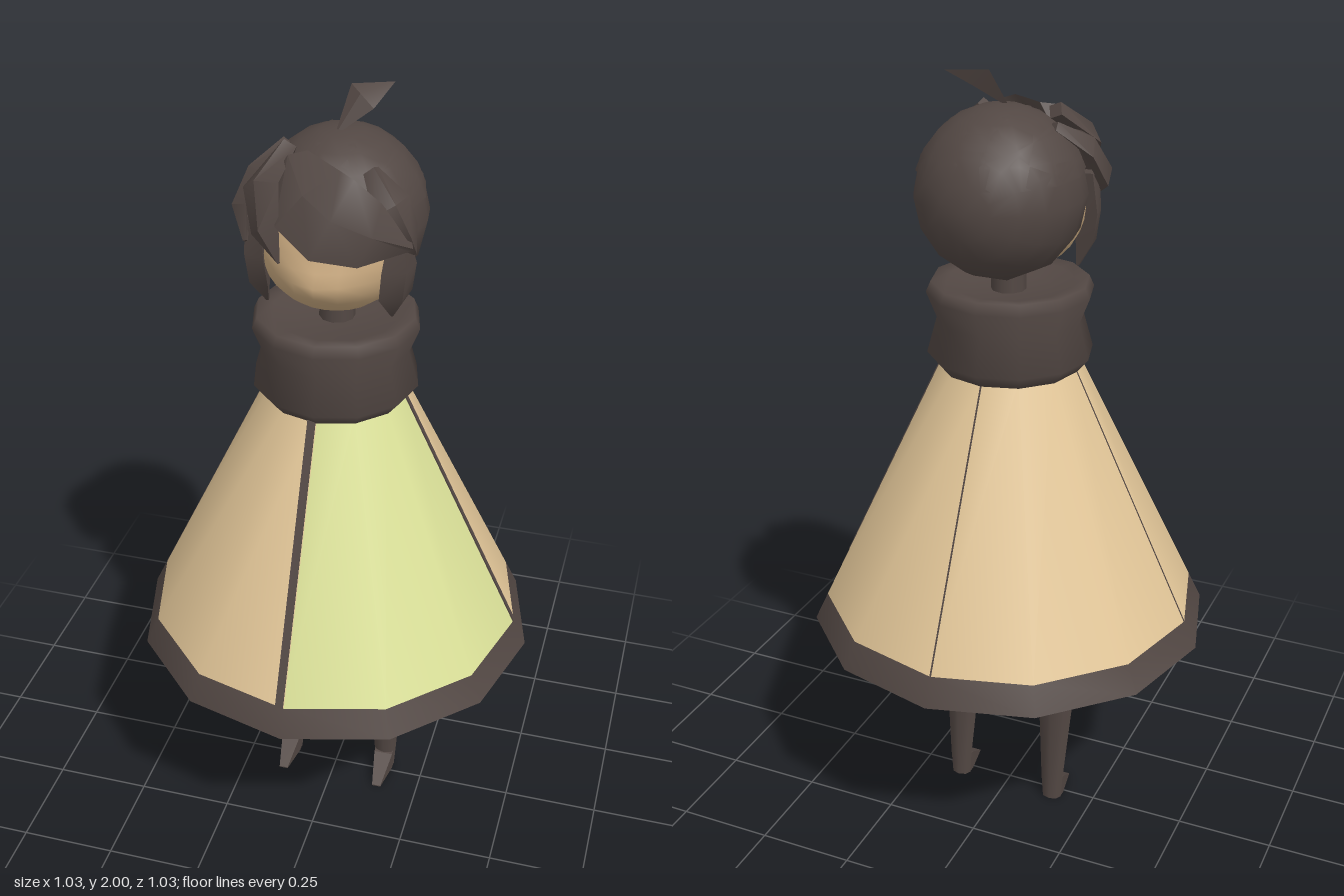
import * as THREE from 'three';
import { toCreasedNormals } from 'three/addons/utils/BufferGeometryUtils.js';

const mat = (name, color, side = THREE.FrontSide) => {
  const m = new THREE.MeshStandardMaterial({ color, side });
  m.name = name;
  return m;
};

const HEAD = new THREE.Vector3(0, 1.71, -0.055);

// Skin over a list of equal-sized rings of points, closed at both ends
function loft(rings, crease) {
  const n = rings[0].length, pos = [], index = [];
  rings.forEach(r => r.forEach(p => pos.push(p.x, p.y, p.z)));
  for (let i = 0; i < rings.length - 1; i++) {
    for (let j = 0; j < n; j++) {
      const a = i * n + j, b = i * n + (j + 1) % n;
      index.push(a, a + n, b, b, a + n, b + n);
    }
  }
  const last = (rings.length - 1) * n;
  for (let j = 1; j < n - 1; j++) {
    index.push(0, j, j + 1, last, last + j + 1, last + j);
  }
  const g = new THREE.BufferGeometry();
  g.setAttribute('position', new THREE.Float32BufferAttribute(pos, 3));
  g.setIndex(index);
  return toCreasedNormals(g, crease);
}

// Leaf-shaped lock along a path of [x, y, z, halfWidth], facing away from the head
function lockGeometry(path, thick) {
  const pts = path.map(p => new THREE.Vector3(p[0], p[1], p[2]));
  const rings = pts.map((c, i) => {
    const t = pts[Math.min(i + 1, pts.length - 1)].clone().sub(pts[Math.max(i - 1, 0)]).normalize();
    const o = c.clone().sub(HEAD).normalize();
    const s = t.clone().cross(o).normalize();
    o.crossVectors(s, t).normalize();
    const w = path[i][3], d = Math.min(thick, w);
    return [[s, w], [o, d], [s, -w], [o, -d]].map(([v, k]) => c.clone().addScaledVector(v, k));
  });
  return loft(rings, 0.8);
}

// Face ball with a slight muzzle pushed forward
function faceGeometry() {
  const g = new THREE.SphereGeometry(1, 20, 16).scale(0.175, 0.155, 0.15).translate(0, 1.66, 0.02);
  const p = g.attributes.position;
  for (let i = 0; i < p.count; i++) {
    if (p.getZ(i) < 0.05) continue;
    const bump = Math.exp(-(((p.getY(i) - 1.615) / 0.045) ** 2) - (p.getX(i) / 0.08) ** 2);
    p.setZ(i, p.getZ(i) + 0.035 * bump);
  }
  g.computeVertexNormals();
  return g;
}

export function createModel() {
  const model = new THREE.Group();
  const dark = mat('darkBrown', 0x524743, THREE.DoubleSide);
  const tan = mat('tanCloth', 0xe2c698);
  const green = mat('greenCloth', 0xdae098);
  const skin = mat('skin', 0xcaaa80);

  const add = (name, geometry, material, parent = model) => {
    const m = new THREE.Mesh(geometry, material);
    m.name = name;
    parent.add(m);
    return m;
  };
  const lathe = (profile, crease = 0.6) => toCreasedNormals(
    new THREE.LatheGeometry(profile.map(p => new THREE.Vector2(...p)), 12), crease);

  // Cloak: twelve-sided cone, one green quarter, the rest tan
  const R0 = 0.515, R1 = 0.17, Y0 = 0.56, Y1 = 1.28, YH = 0.63;
  const radius = y => R0 + (R1 - R0) * (y - Y0) / (Y1 - Y0);
  const panel = (start, quarters) => new THREE.CylinderGeometry(
    R1, radius(YH), Y1 - YH, 3 * quarters, 1, true, start, quarters * Math.PI / 2)
    .translate(0, (YH + Y1) / 2, 0);
  add('greenCloakPanel', panel(0, 1), green);
  add('tanCloakPanels', panel(Math.PI / 2, 3), tan);
  add('cloakHem', lathe([[R0, Y0], [radius(YH), YH]]), dark);
  add('cloakLining', lathe([[R0, Y0], [0.49, Y0], [0.475, 0.585], [0.485, 0.6], [0.155, 1.27]]), dark);

  // Seams down the quarter lines: [width, sideways offset, thickness], front first
  const slope = Math.atan((R0 - R1) / (Y1 - Y0));
  const seamLength = (Y1 - YH) / Math.cos(slope);
  const yMid = (YH + Y1) / 2;
  [[0.02, -0.012, 0.005], [0.012, 0, 0.004], [0.004, 0, 0.001], [0.004, 0, 0.001]].forEach(([w, off, t], i) => {
    add('cloakSeam', new THREE.BoxGeometry(w, seamLength, t)
      .rotateX(-slope)
      .translate(off, yMid, radius(yMid))
      .rotateY(i * Math.PI / 2), dark);
  });

  // Thick collar and neck
  add('collar', lathe([[0.14, 1.262], [0.175, 1.264], [0.205, 1.3], [0.18, 1.39],
    [0.205, 1.455], [0.193, 1.482], [0.155, 1.478], [0.1, 1.46], [0, 1.46]], 1.3), dark);
  add('neck', new THREE.CylinderGeometry(0.04, 0.045, 0.16, 10).translate(0, 1.49, -0.01), dark);

  // Head: skin face in front, hair cap behind and on top
  const head = new THREE.Group();
  head.name = 'head';
  model.add(head);
  add('face', faceGeometry(), skin, head);
  const placeHair = g => g.scale(0.203, 0.205, 0.211).translate(HEAD.x, HEAD.y, HEAD.z);
  add('hairBack', placeHair(new THREE.SphereGeometry(1, 14, 7, 0, Math.PI * 2, 0.93, Math.PI - 0.93)
    .rotateX(Math.PI / 2)), dark, head);
  add('hairTop', placeHair(new THREE.SphereGeometry(1, 14, 5, 0, Math.PI * 2, 0, 1.3)), dark, head);

  // Fringe and side locks
  const locks = {
    bigFringeLock: [[-0.08, 1.875, 0.07, 0.04], [-0.02, 1.83, 0.165, 0.095], [0.04, 1.795, 0.185, 0.1],
      [0.12, 1.76, 0.165, 0.075], [0.2, 1.715, 0.105, 0.01]],
    rightFringeLock: [[-0.1, 1.89, 0.03, 0.025], [-0.14, 1.83, 0.12, 0.06], [-0.115, 1.75, 0.175, 0.045], [-0.08, 1.68, 0.19, 0.004]],
    outerRightLock: [[-0.125, 1.87, -0.04, 0.015], [-0.18, 1.82, 0.03, 0.055], [-0.205, 1.75, 0.07, 0.05], [-0.18, 1.69, 0.12, 0.006]],
    outerLeftLock: [[0.1, 1.875, 0.08, 0.02], [0.155, 1.81, 0.11, 0.05], [0.185, 1.74, 0.1, 0.04], [0.2, 1.68, 0.06, 0.005]],
  };
  for (const [name, path] of Object.entries(locks)) add(name, lockGeometry(path, 0.022), dark, head);
  for (const s of [1, -1]) {
    add(s > 0 ? 'leftSideLock' : 'rightSideLock', lockGeometry([[s * 0.165, 1.74, 0.085, 0.025],
      [s * 0.17, 1.65, 0.085, 0.05], [s * 0.162, 1.58, 0.08, 0.047], [s * 0.15, 1.515, 0.06, 0.004]], 0.027), dark, head);
  }

  // Tilted leaf-shaped tuft on the crown: base, wide middle, tip
  const ring = (...points) => points.map(p => new THREE.Vector3(...p));
  const point = p => ring(p, p, p, p);
  add('topTuft', loft([point([-0.012, 1.9, -0.03]),
    ring([0.07, 1.96, -0.06], [0.036, 1.987, -0.072], [0.008, 1.998, -0.1], [0.045, 1.958, -0.1]),
    point([0.1, 1.998, -0.138])], 0.5), dark, head);

  // Legs: oval rings of [y, x, z, halfWidth, halfDepth], and a pointed wedge foot
  const legRings = [[0.9, 0.12, -0.08, 0.09, 0.11], [0.78, 0.122, -0.065, 0.083, 0.1],
    [0.56, 0.135, -0.027, 0.057, 0.063], [0.36, 0.138, -0.006, 0.053, 0.042],
    [0.06, 0.138, -0.03, 0.031, 0.02], [0, 0.138, -0.03, 0.027, 0.02]];
  for (const s of [1, -1]) {
    const leg = new THREE.Group();
    leg.name = s > 0 ? 'leftLeg' : 'rightLeg';
    model.add(leg);
    const rings = legRings.map(([y, x, z, w, d]) => Array.from({ length: 8 }, (_, j) => {
      const a = j * Math.PI / 4;
      return new THREE.Vector3(s * x + w * Math.cos(a), y, z - d * Math.sin(a));
    }));
    add('legShape', loft(rings, 0.9), dark, leg);
    const section = (height, z, w) => ring(...[[-w, 0], [-w, height], [w, height], [w, 0]]
      .map(([x, y]) => [s * 0.138 + x, y, z]));
    add('foot', loft([section(0.06, -0.03, 0.026), section(0.055, -0.008, 0.026),
      section(0.003, 0.072, 0.012)], 0.3), dark, leg);
  }
  return model;
}
